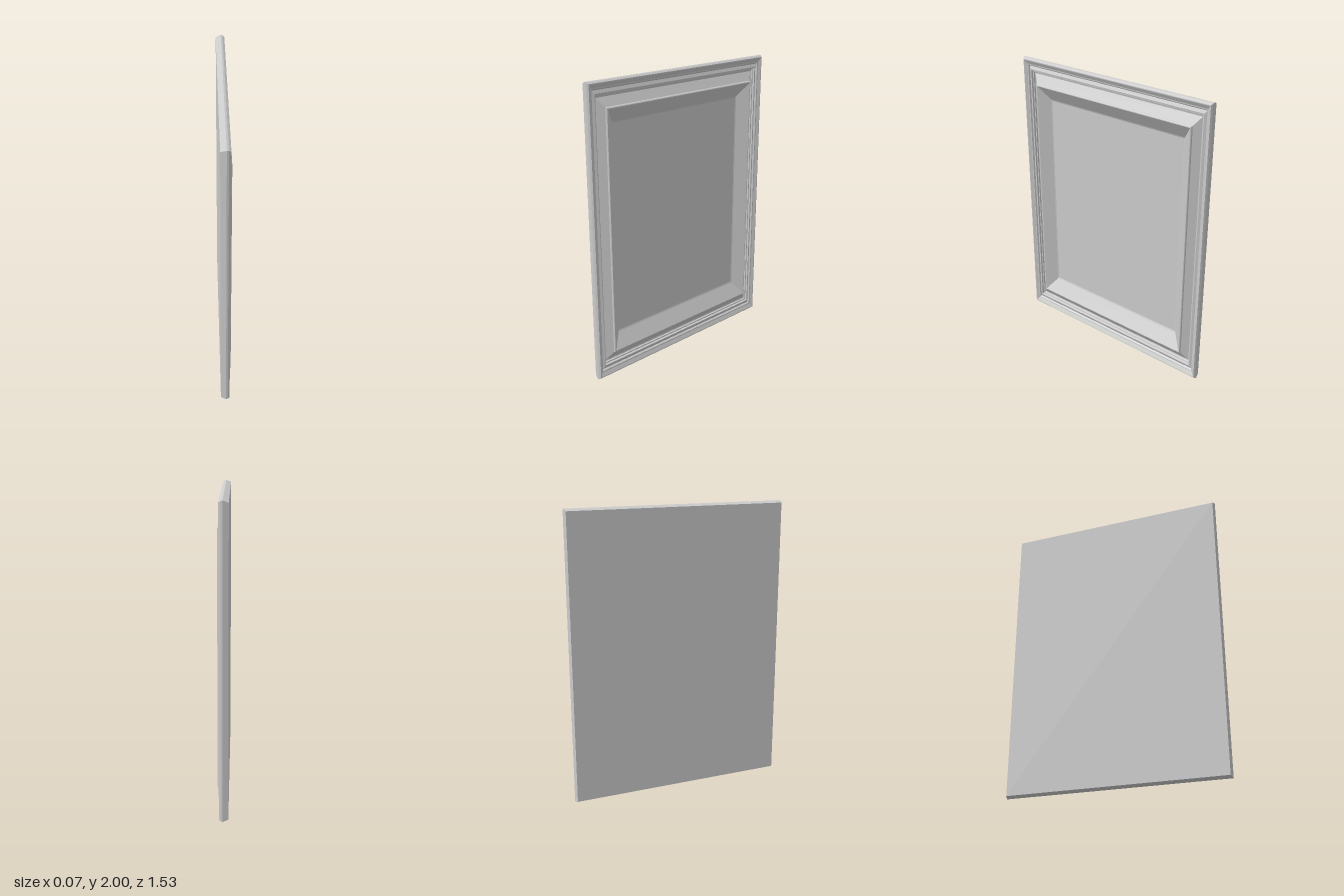
import * as THREE from 'three';

const HALF_Y = 1, HALF_Z = 0.765;

// corners of a rectangle at a given inset, counter-clockwise seen from +x
function ring([inset, x]) {
  const y = HALF_Y * (1 - inset), z = HALF_Z * (1 - inset);
  return [[x, 1 - y, z], [x, 1 - y, -z], [x, 1 + y, -z], [x, 1 + y, z]];
}

// mitred bands between successive rings, with optional flat caps
function moulding(name, profile, { cap = false, startCap = false } = {}) {
  const pos = [];
  const quad = (a, b, c, d) => pos.push(...a, ...b, ...c, ...a, ...c, ...d);
  const rings = profile.map(ring);
  for (let i = 0; i < rings.length - 1; i++) {
    const p = rings[i], q = rings[i + 1];
    for (let k = 0; k < 4; k++) {
      const n = (k + 1) % 4;
      quad(p[k], p[n], q[n], q[k]);
    }
  }
  if (cap) quad(...rings[rings.length - 1]);
  if (startCap) quad(...[...rings[0]].reverse());
  const geo = new THREE.BufferGeometry();
  geo.setAttribute('position', new THREE.Float32BufferAttribute(pos, 3));
  geo.computeVertexNormals();
  const mesh = new THREE.Mesh(geo, new THREE.MeshStandardMaterial({ color: 0xcccccc, flatShading: true }));
  mesh.name = name;
  return mesh;
}

export function createModel() {
  const group = new THREE.Group();
  group.name = 'framedPanel';

  // profiles are [inset, x] pairs running from the back edge to the centre
  // flat back and pointed outer edge
  group.add(moulding('backAndEdge', [[0.013, -0.035], [0, 0], [0.003, 0.012], [0.012, 0.025]], { startCap: true }));

  // rim sloping inward to a groove, then a small bead and steps
  group.add(moulding('outerMoulding', [
    [0.012, 0.025], [0.018, 0.025], [0.042, 0.012], [0.05, 0.011], [0.058, 0],
    [0.064, 0.003], [0.078, 0.01], [0.084, 0.009], [0.088, -0.003],
    [0.096, -0.004], [0.1, -0.013], [0.108, -0.015],
  ]));

  // slope rising to the inner ridge
  group.add(moulding('innerRidge', [
    [0.108, -0.015], [0.165, 0.022], [0.168, 0.03], [0.172, 0.034], [0.177, 0.035], [0.182, 0.032],
  ]));

  // bevel falling to the recessed panel
  group.add(moulding('recessedPanel', [[0.182, 0.032], [0.272, -0.026], [0.282, -0.03]], { cap: true }));

  return group;
}
